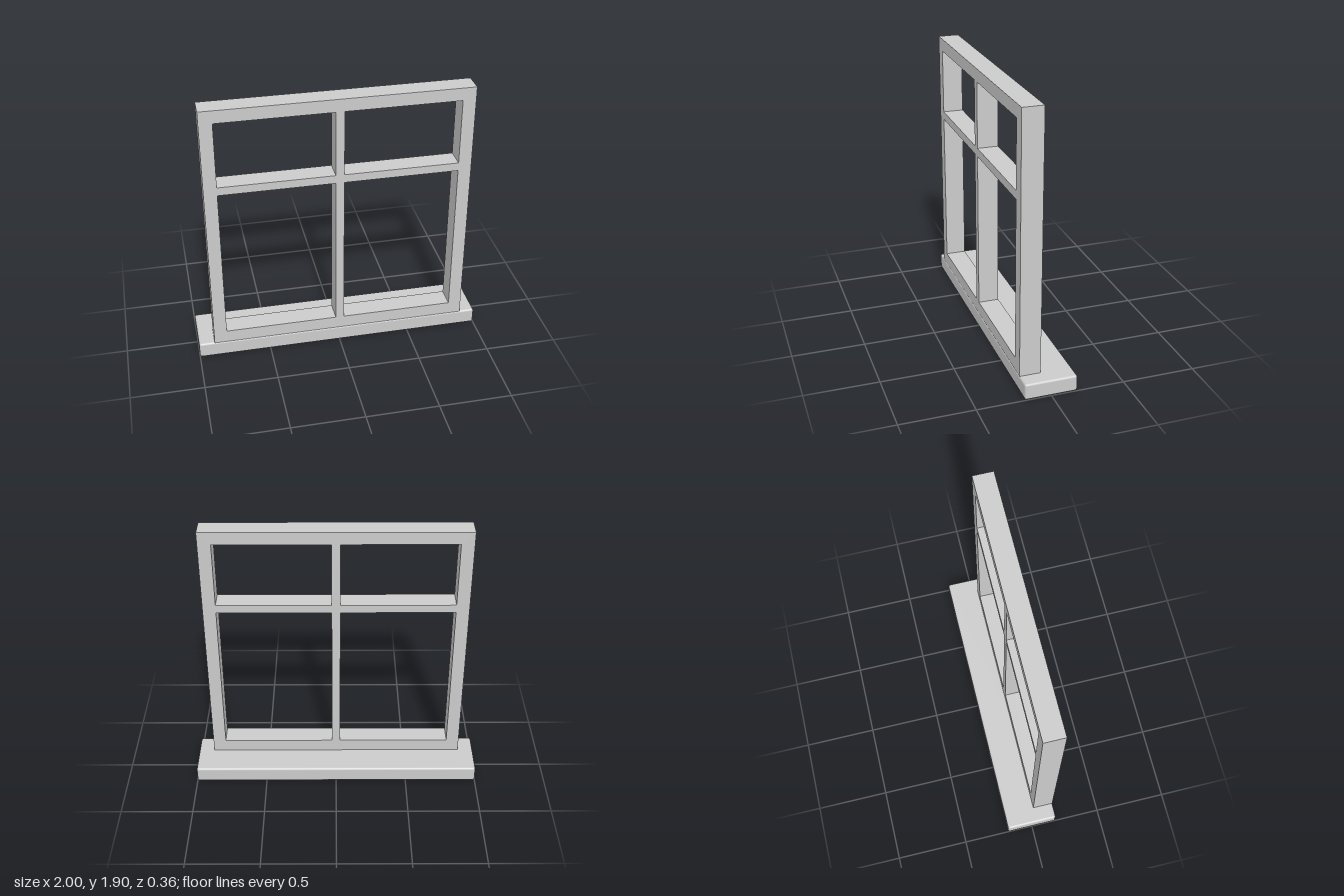
import * as THREE from 'three';
import { RoundedBoxGeometry } from 'three/addons/geometries/RoundedBoxGeometry.js';

const BACK = 0.035, DEPTH = 0.143;                          // shared z extent of frame and bars
const OUTER = { x: 0.892, y0: 0.112, y1: 1.898 };
const INNER = { x: 0.803, y0: 0.202, y1: 1.81 };
const BAR = 0.029, RAIL_Y = 1.326;                          // bar half width, cross rail height

const rectangle = ({ x, y0, y1 }) =>
  [[-x, y0], [x, y0], [x, y1], [-x, y1]].map(([px, py]) => new THREE.Vector2(px, py));

export function createModel() {
  const group = new THREE.Group();
  const material = new THREE.MeshStandardMaterial({ color: 0xcccccc });

  const add = (name, geometry, x, y, z) => {
    const mesh = new THREE.Mesh(geometry, material);
    mesh.name = name;
    mesh.position.set(x, y, z);
    group.add(mesh);
  };
  const extrude = (shape) =>
    new THREE.ExtrudeGeometry(shape, { depth: DEPTH, bevelEnabled: false });

  // Sill with softened edges
  add('sill', new RoundedBoxGeometry(2, 0.112, 0.356, 3, 0.015), 0, 0.056, 0);

  // Outer frame around one large opening
  const frame = new THREE.Shape(rectangle(OUTER));
  frame.holes.push(new THREE.Path(rectangle(INNER)));
  add('frame', extrude(frame), 0, 0, BACK);

  // Glazing bars as one cross filling the opening
  const { x, y0, y1 } = INNER;
  const low = RAIL_Y - BAR, high = RAIL_Y + BAR;
  const cross = new THREE.Shape([
    [-BAR, y0], [BAR, y0], [BAR, low], [x, low], [x, high], [BAR, high],
    [BAR, y1], [-BAR, y1], [-BAR, high], [-x, high], [-x, low], [-BAR, low],
  ].map(([px, py]) => new THREE.Vector2(px, py)));
  add('glazingBars', extrude(cross), 0, 0, BACK);

  return group;
}
